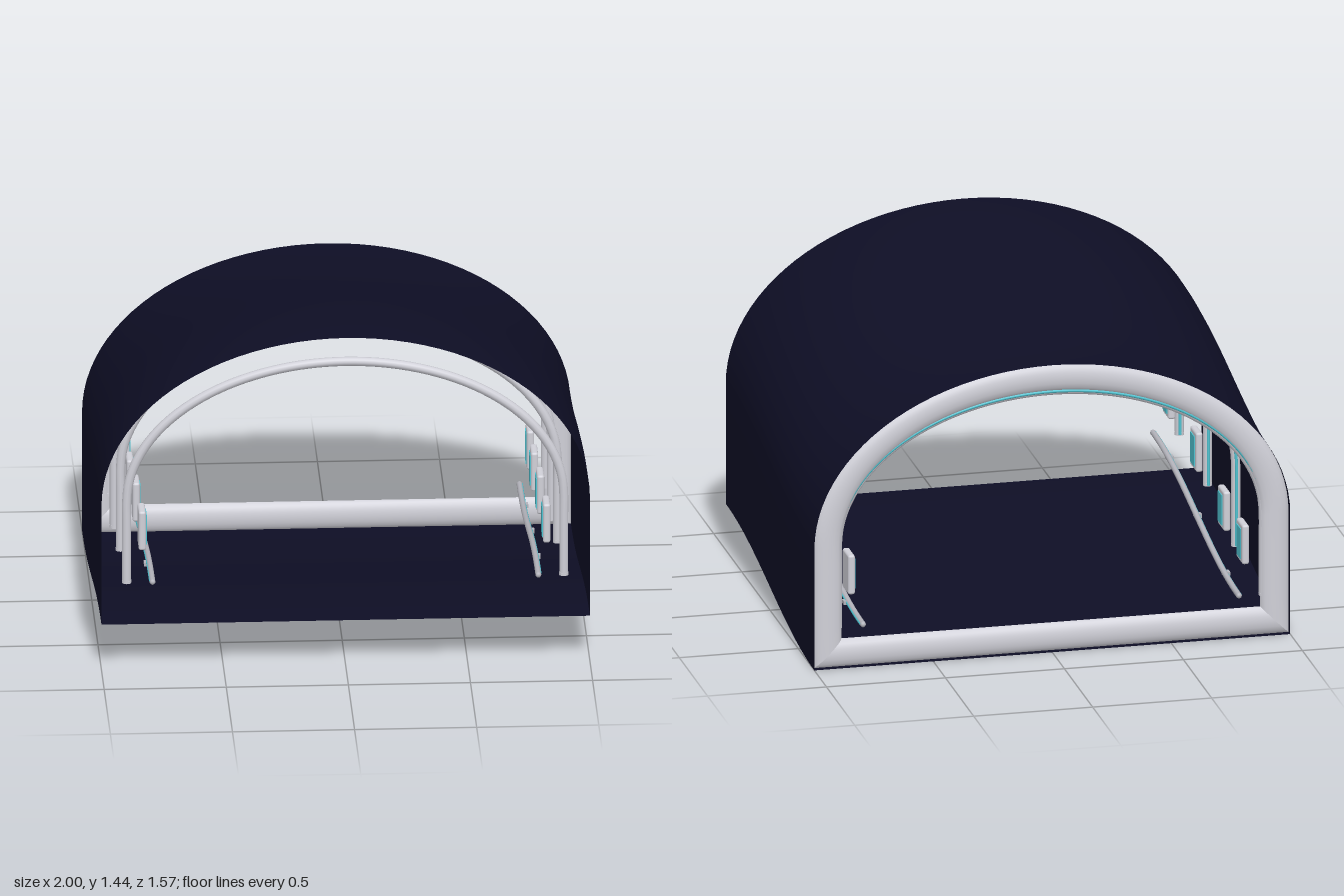
import * as THREE from 'three';
import { RoundedBoxGeometry } from 'three/addons/geometries/RoundedBoxGeometry.js';

const HALF = 0.785;      // half length of the tunnel
const SPRING = 0.52;     // height where the walls turn into the vault
// Height of the floor along the tunnel: a gentle S-shaped ramp
const floorY = (z) => 0.1 + 0.1 * Math.sin((Math.PI * z) / (2 * HALF));

// Arch outline from the right foot over the top to the left foot
function arch(halfWidth, rise, foot, n = 48) {
  const pts = [];
  for (let i = 0; i < 4; i++) pts.push([halfWidth, foot + ((SPRING - foot) * i) / 4]);
  for (let i = 0; i <= n; i++) {
    const a = (Math.PI * i) / n;
    pts.push([halfWidth * Math.cos(a), SPRING + rise * Math.sin(a)]);
  }
  for (let i = 3; i >= 0; i--) pts.push([-halfWidth, foot + ((SPRING - foot) * i) / 4]);
  return pts;
}

// Skin a list of equally long rows of [x, y, z] points
function loft(rows) {
  const cols = rows[0].length;
  const index = [];
  for (let r = 0; r < rows.length - 1; r++) {
    for (let c = 0; c < cols - 1; c++) {
      const a = r * cols + c, b = a + 1, d = a + cols, e = d + 1;
      index.push(a, d, b, b, d, e);
    }
  }
  const g = new THREE.BufferGeometry();
  g.setAttribute('position', new THREE.Float32BufferAttribute(rows.flat(2), 3));
  g.setIndex(index);
  g.computeVertexNormals();
  return g;
}

function tube(points, radius, segments) {
  const curve = new THREE.CatmullRomCurve3(points.map((p) => new THREE.Vector3(...p)));
  return new THREE.TubeGeometry(curve, segments, radius, 10);
}

export function createModel() {
  const navy = new THREE.MeshStandardMaterial({ color: 0x0e0e25, side: THREE.DoubleSide });
  navy.name = 'navy shell';
  const pale = new THREE.MeshStandardMaterial({ color: 0xd0d0d8, side: THREE.DoubleSide });
  pale.name = 'pale grey trim';
  const grey = new THREE.MeshStandardMaterial({ color: 0xb4b4bc });
  grey.name = 'grey rail';
  const cyan = new THREE.MeshStandardMaterial({ color: 0x50c4d2 });
  cyan.name = 'cyan light';

  const model = new THREE.Group();
  model.name = 'tunnel';
  const add = (name, geometry, material, x = 0, y = 0, z = 0) => {
    const mesh = new THREE.Mesh(geometry, material);
    mesh.name = name;
    mesh.position.set(x, y, z);
    model.add(mesh);
    return mesh;
  };

  // Vault and floor, swept along the ramp
  const stations = Array.from({ length: 33 }, (_, i) => HALF - (2 * HALF * i) / 32);
  const outer = arch(1, 0.72, 0);
  add('vault', loft(stations.map((z) => outer.map(([x, y]) => [x, y + floorY(z), z]))), navy);
  add('floor', loft(stations.map((z) => [[-1, floorY(z), z], [1, floorY(z), z]])), navy);

  // Rounded rim around the rear opening: arch and sill meet in mitred corners
  const archRows = [];
  const sillRows = [];
  for (let i = 0; i <= 16; i++) {
    const a = (Math.PI * 2 * i) / 16;
    const inset = 0.06 + 0.06 * Math.cos(a);
    const z = -HALF + 0.029 + 0.03 * Math.sin(a);
    archRows.push(arch(1 - inset, 0.72 - inset, inset).map(([x, y]) => [x, y, z]));
    sillRows.push([[-1 + inset, inset, z], [1 - inset, inset, z]]);
  }
  add('rearRim', loft(archRows), pale);
  add('rearSill', loft(sillRows), pale);

  // Ribs with a thin light strip on their rear side
  const ribPath = arch(0.895, 0.6, 0.17, 24);
  for (const z of [0.74, 0.24, -0.26, -0.75]) {
    const y0 = floorY(z);
    const path = (dz) => ribPath.map(([x, y]) => [x, y + y0, z + dz]);
    add('rib', tube(path(0), 0.019, 80), pale);
    add('ribLight', tube(path(-0.016), 0.0065, 80), cyan);
    for (const side of [-1, 1]) {
      add('ribFoot', new THREE.CylinderGeometry(0.0195, 0.0195, 0.012, 12), pale,
        side * 0.895, y0 + 0.172, z);
    }
  }

  for (const side of [-1, 1]) {
    // Wall displays
    for (const z of [0.64, 0.15, -0.34, -0.67]) {
      const y = floorY(z) + 0.375;
      add('displayFrame', new RoundedBoxGeometry(0.03, 0.17, 0.11, 2, 0.01), pale, side * 0.828, y, z);
      add('displayScreen', new THREE.BoxGeometry(0.006, 0.13, 0.07), cyan, side * 0.812, y, z);
    }

    // Handrail following the ramp, with a light line on its wall side
    const railPath = (x) => stations.map((z) => [side * x, floorY(z) + 0.175, z * 0.97]);
    add('handrail', tube(railPath(0.79), 0.012, 48), grey);
    add('railLight', tube(railPath(0.798), 0.006, 48), cyan);
    for (const end of [-1, 1]) {
      add('railEnd', new THREE.SphereGeometry(0.0122, 10, 8), grey,
        side * 0.79, floorY(end * HALF) + 0.175, end * HALF * 0.97);
    }
    for (const z of [0.5, 0, -0.5]) {
      add('railBracket', new THREE.BoxGeometry(0.03, 0.016, 0.03), grey,
        side * 0.797, floorY(z) + 0.17, z);
    }
  }
  return model;
}
